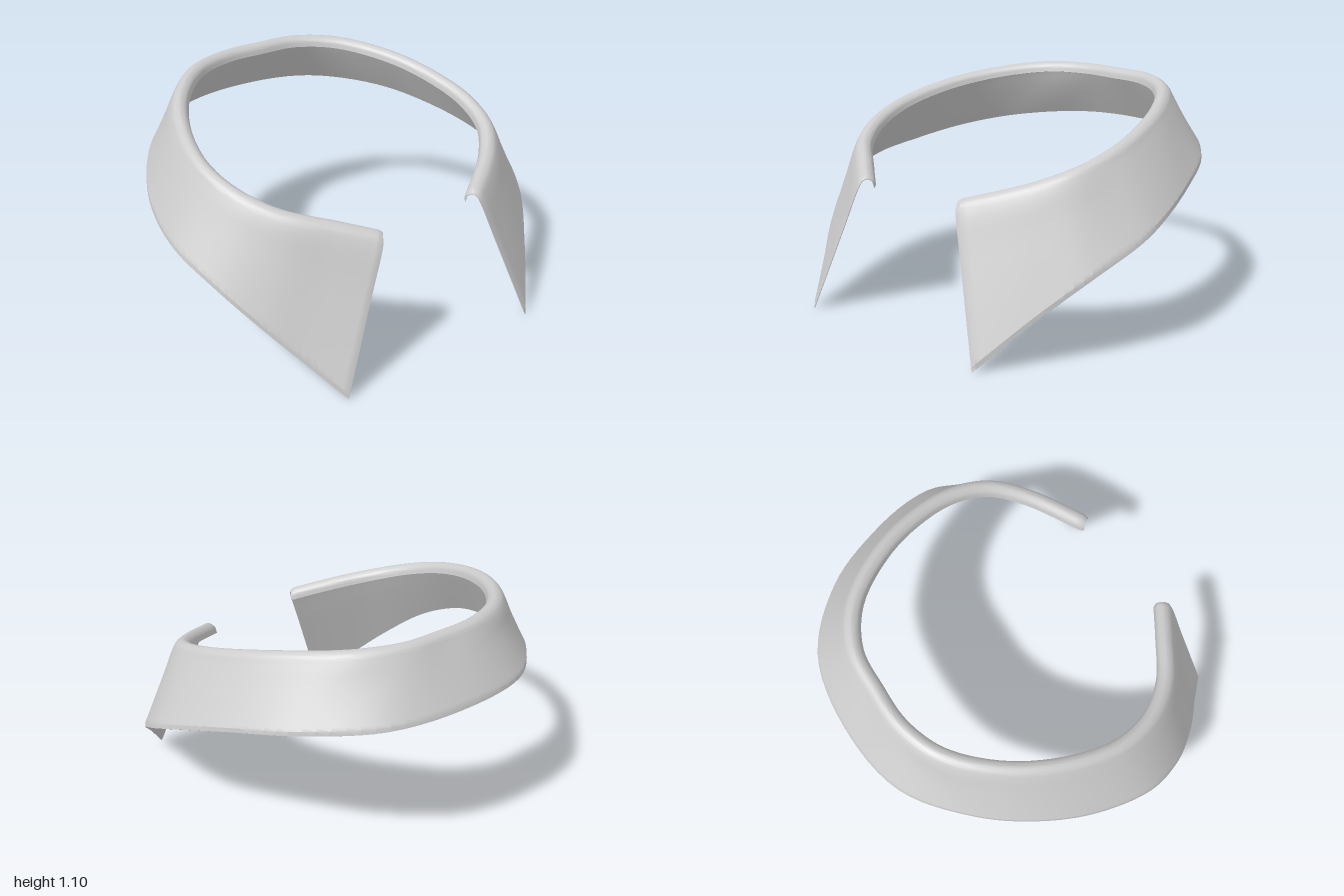
import * as THREE from 'three';
import { mergeVertices, toCreasedNormals } from 'three/addons/utils/BufferGeometryUtils.js';

// Stations from the right front end, around the back, to the left front end:
// neck edge x, neck edge z, fold height, hem x, hem y, hem z
const STATIONS = [
  [-0.21, 0.73, 0.715, -0.52, 0.01, 0.925],
  [-0.38, 0.62, 0.765, -0.66, 0.17, 0.77],
  [-0.58, 0.48, 0.82, -0.8, 0.33, 0.62],
  [-0.7, 0.31, 0.885, -0.93, 0.49, 0.43],
  [-0.745, 0.11, 0.95, -1.0, 0.595, 0.2],
  [-0.7, -0.15, 1.02, -0.965, 0.66, -0.1],
  [-0.58, -0.4, 1.07, -0.86, 0.72, -0.37],
  [-0.4, -0.59, 1.1, -0.69, 0.765, -0.62],
  [-0.2, -0.67, 1.105, -0.4, 0.795, -0.86],
  [0, -0.68, 1.105, 0, 0.805, -0.93],
  [0.2, -0.67, 1.105, 0.4, 0.795, -0.86],
  [0.4, -0.56, 1.09, 0.7, 0.76, -0.6],
  [0.59, -0.3, 1.04, 0.87, 0.7, -0.3],
  [0.69, -0.03, 0.97, 0.975, 0.62, -0.02],
  [0.71, 0.14, 0.92, 0.998, 0.55, 0.16],
  [0.68, 0.3, 0.865, 0.93, 0.42, 0.4],
  [0.57, 0.45, 0.8, 0.79, 0.24, 0.615],
  [0.32, 0.65, 0.71, 0.62, 0.01, 0.84],
];

// Rolled fold: outward distance from the neck edge, height relative to the fold
const FOLD = [[0, -0.052], [0.01, -0.018], [0.04, 0], [0.07, -0.012], [0.092, -0.045]];
const BORDER = 0.022;
const THICKNESS = 0.012;

const spline = (points) => new THREE.CatmullRomCurve3(points, false, 'centripetal');
const neck = spline(STATIONS.map(([x, z, y]) => new THREE.Vector3(x, y, z)));
const hem = spline(STATIONS.map(([, , , x, y, z]) => new THREE.Vector3(x, y, z)));

// One section of the collar, from the neck edge over the fold to the hem
function section(u) {
  const top = neck.getPoint(u);
  const bottom = hem.getPoint(u);
  const t = neck.getTangent(u);
  const out = new THREE.Vector3(t.z, 0, -t.x).normalize();
  const points = FOLD.map(([d, y]) =>
    top.clone().addScaledVector(out, d).add(new THREE.Vector3(0, y, 0)));
  const shoulder = points[points.length - 1];
  const inset = 1 - BORDER / shoulder.distanceTo(bottom);
  for (const f of [0.3, 0.65, inset, 1]) points.push(shoulder.clone().lerp(bottom, f));
  const curve = spline(points);
  const segments = points.length - 1;
  const samples = [];
  for (let k = 0; k < segments; k++) {
    const steps = k < FOLD.length - 1 ? 5 : k === segments - 1 ? 1 : 4;
    for (let s = 0; s < steps; s++) samples.push(curve.getPoint((k + s / steps) / segments));
  }
  samples.push(bottom);
  return samples;
}

// Thin closed shell with a bevelled border along the hem and front edges
function collarGeometry() {
  const segs = STATIONS.length - 1;
  const us = [0, 0.1 / segs];
  const count = segs * 6;
  for (let i = 1; i < count; i++) us.push(i / count);
  us.push(1 - 0.07 / segs, 1);
  us.sort((a, b) => a - b);
  const grid = us.map(section);
  const rows = grid.length;
  const cols = grid[0].length;

  // Each ring runs down the outer face and back up the inner face
  const rings = grid.map((row, i) => {
    const outer = [];
    const inner = [];
    row.forEach((p, j) => {
      const du = grid[Math.min(i + 1, rows - 1)][j].clone().sub(grid[Math.max(i - 1, 0)][j]);
      const dv = row[Math.min(j + 1, cols - 1)].clone().sub(row[Math.max(j - 1, 0)]);
      const n = du.cross(dv).normalize();
      const rim = i === 0 || i === rows - 1 || j === cols - 1;
      outer.push(p.clone().addScaledVector(n, rim ? -THICKNESS * 0.7 : 0));
      inner.push(p.clone().addScaledVector(n, -THICKNESS));
    });
    return outer.concat(inner.reverse());
  });

  const size = cols * 2;
  const positions = rings.flat().flatMap((p) => [p.x, p.y, p.z]);
  const index = [];
  const quad = (a, b, c, d) => index.push(a, b, c, b, d, c);
  for (let i = 0; i < rows - 1; i++) {
    for (let j = 0; j < size; j++) {
      const k = (j + 1) % size;
      quad(i * size + j, (i + 1) * size + j, i * size + k, (i + 1) * size + k);
    }
  }
  // Front end caps
  const last = (rows - 1) * size;
  for (let j = 0; j < cols - 1; j++) {
    const a = j, b = j + 1, c = size - 1 - j, d = size - 2 - j;
    quad(a, b, c, d);
    quad(last + b, last + a, last + d, last + c);
  }

  const geometry = new THREE.BufferGeometry();
  geometry.setAttribute('position', new THREE.Float32BufferAttribute(positions, 3));
  geometry.setIndex(index);
  return toCreasedNormals(mergeVertices(geometry), 0.4);
}

export function createModel() {
  const group = new THREE.Group();
  group.name = 'shirtCollar';
  const material = new THREE.MeshStandardMaterial({ color: 0xcccccc, side: THREE.DoubleSide });
  const collar = new THREE.Mesh(collarGeometry(), material);
  collar.name = 'foldedCollar';
  group.add(collar);
  return group;
}
